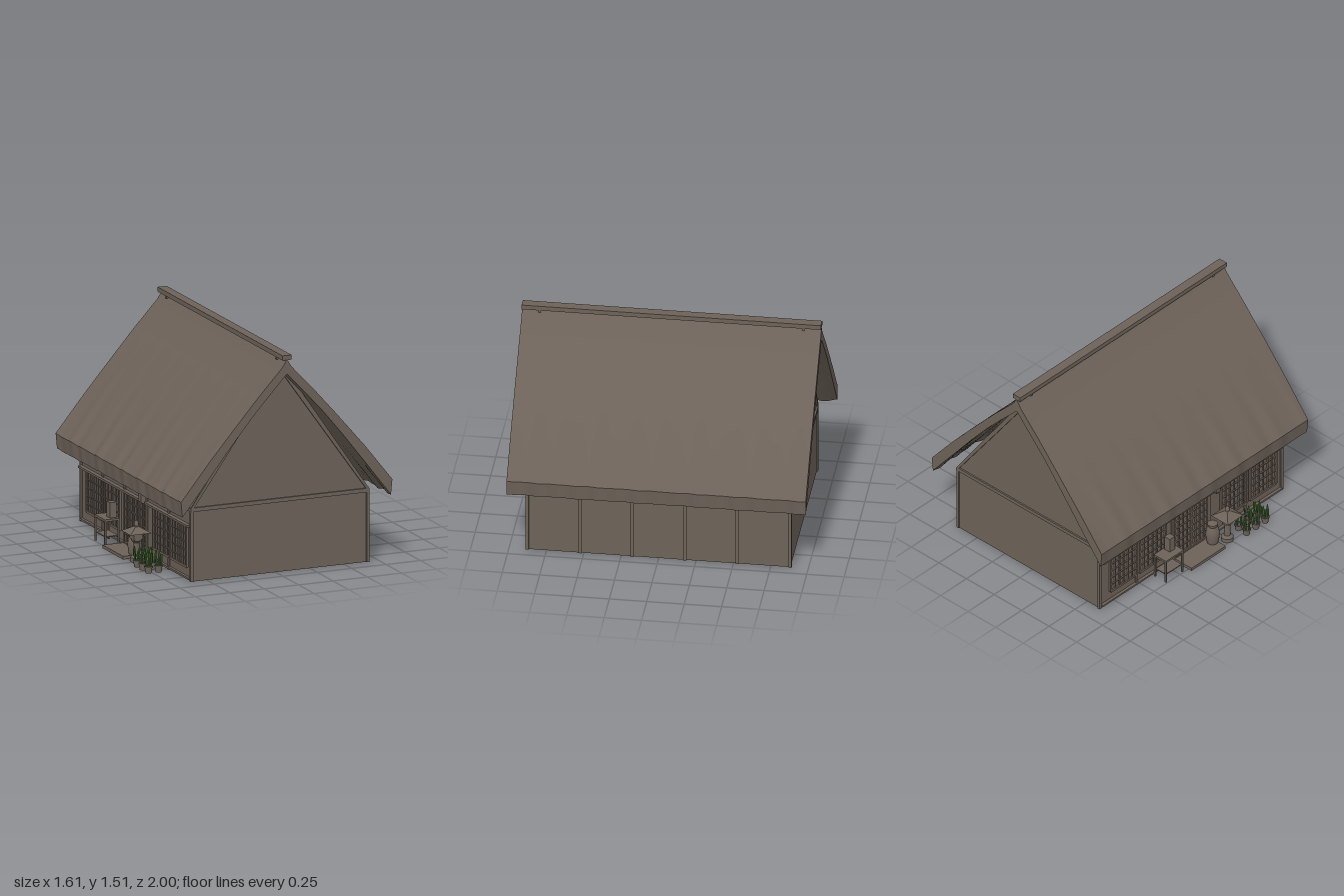
import * as THREE from 'three';
import { toCreasedNormals } from 'three/addons/utils/BufferGeometryUtils.js';

const wood = new THREE.MeshStandardMaterial({ color: 0x6d6259 });
wood.name = 'weathered brown';
const leaf = new THREE.MeshStandardMaterial({ color: 0x4f7a3a });
leaf.name = 'leaf green';

const CX = 0.03; // ridge line of the house
const WALL = -0.61; // shop front wall plane

function add(parent, name, geometry, x = 0, y = 0, z = 0, material = wood) {
  const mesh = new THREE.Mesh(geometry, material);
  mesh.name = name;
  mesh.position.set(x, y, z);
  parent.add(mesh);
  return mesh;
}

// Box given by its limits on each axis
function box(parent, name, x0, x1, y0, y1, z0, z1) {
  return add(parent, name, new THREE.BoxGeometry(x1 - x0, y1 - y0, z1 - z0),
    (x0 + x1) / 2, (y0 + y1) / 2, (z0 + z1) / 2);
}

function group(parent, name, x = 0, y = 0, z = 0) {
  const g = new THREE.Group();
  g.name = name;
  g.position.set(x, y, z);
  parent.add(g);
  return g;
}

function lathe(points, segments = 20) {
  const g = new THREE.LatheGeometry(points.map(p => new THREE.Vector2(...p)), segments);
  return toCreasedNormals(g, 0.6);
}

function polygon(points) {
  return new THREE.Shape(points.map(p => new THREE.Vector2(...p)));
}

// Thatched roof: one closed cross-section swept along z, rippling toward the eaves
function roofGeometry() {
  const outer = [[0, 1.48], [0.035, 1.425], [0.2, 1.25], [0.36, 1.07], [0.57, 0.83], [0.767, 0.58]];
  const inner = [[0.757, 0.476], [0.56, 0.73], [0.41, 0.92], [0.26, 1.1], [0.15, 1.22], [0, 1.38]];
  const flip = list => list.map(([x, y]) => [-x, y]).reverse();
  const section = [...outer, ...inner, ...flip(inner).slice(1), ...flip(outer).slice(0, -1)];
  const n = section.length, steps = 96, pos = [], index = [];
  for (let i = 0; i <= steps; i++) {
    const z = -1 + 2 * i / steps;
    for (const [x, y] of section) {
      const w = Math.pow(Math.abs(x) / 0.767, 4);
      const wave = 0.004 * Math.sin(z * 29 + Math.sign(x)) + 0.003 * Math.sin(z * 47 + y * 9);
      pos.push(CX + x + wave * w * Math.sign(x), y + wave * w, z);
    }
  }
  for (let i = 0; i < steps; i++) {
    for (let j = 0; j < n; j++) {
      const a = i * n + j, b = i * n + (j + 1) % n;
      index.push(a, a + n, b, b, a + n, b + n);
    }
  }
  const faces = THREE.ShapeUtils.triangulateShape(section.map(p => new THREE.Vector2(...p)), []);
  const last = steps * n;
  for (const [a, b, c] of faces) {
    // orient each end cap outward whichever way it was triangulated
    const [p, q, r] = [section[a], section[b], section[c]];
    const ccw = (q[0] - p[0]) * (r[1] - p[1]) - (q[1] - p[1]) * (r[0] - p[0]) > 0;
    const [u, v] = ccw ? [b, c] : [c, b];
    index.push(last + a, last + u, last + v, a, v, u);
  }
  const g = new THREE.BufferGeometry();
  g.setAttribute('position', new THREE.Float32BufferAttribute(pos, 3));
  g.setIndex(index);
  // the section runs clockwise, so side faces already point outward
  return toCreasedNormals(g, 0.5);
}

// Lattice screen on the shop front
function lattice(parent, name, y0, y1, z0, z1, columns, rows) {
  const g = group(parent, name);
  box(g, 'screenPanel', WALL - 0.004, WALL, y0, y1, z0, z1);
  const bar = (a, b, c, d) => box(g, 'latticeBar', WALL - 0.014, WALL, a, b, c, d);
  for (let i = 0; i <= columns; i++) {
    const z = z0 + (z1 - z0) * i / columns, h = i % columns ? 0.003 : 0.008;
    bar(y0, y1, z - h, z + h);
  }
  for (let i = 0; i <= rows; i++) {
    const y = y0 + (y1 - y0) * i / rows, h = i % rows ? 0.003 : 0.008;
    bar(y - h, y + h, z0, z1);
  }
}

export function createModel() {
  const model = new THREE.Group();
  model.name = 'thatchedShop';

  // Walls and gable as one solid
  const house = group(model, 'house');
  const body = polygon([[-0.61, 0], [0.67, 0], [0.67, 0.5], [CX, 1.42], [-0.61, 0.5]]);
  add(house, 'walls', new THREE.ExtrudeGeometry(body, { depth: 1.76, bevelEnabled: false }), 0, 0, -0.88);

  // Timber posts along both long walls
  for (let i = 0; i < 6; i++) {
    const z = -0.878 + 1.756 * i / 5;
    box(house, 'post', 0.66, 0.68, 0, 0.5, z - 0.011, z + 0.011);
    box(house, 'post', -0.62, -0.6, 0, 0.5, z - 0.011, z + 0.011);
  }
  box(house, 'wallPlate', 0.66, 0.68, 0.48, 0.5, -0.89, 0.89);
  box(house, 'wallPlate', -0.62, -0.6, 0.48, 0.5, -0.89, 0.89);

  // Gable timbers, front and back
  const rake = polygon([[-0.62, 0.5], [0.68, 0.5], [CX, 1.44]]);
  rake.holes.push(polygon([[-0.595, 0.505], [CX, 1.38], [0.655, 0.505]]));
  for (const s of [-1, 1]) {
    box(house, 'tieBeam', -0.62, 0.68, 0.478, 0.5, s * 0.885 - 0.006, s * 0.885 + 0.006);
    add(house, 'gableFrame', new THREE.ExtrudeGeometry(rake, { depth: 0.012, bevelEnabled: false }),
      0, 0, s * 0.885 - 0.006);
  }

  // Roof and ridge
  const roof = group(model, 'roof');
  add(roof, 'thatch', roofGeometry());
  box(roof, 'ridgeBeam', CX - 0.033, CX + 0.033, 1.475, 1.507, -1, 1);
  for (const z of [-0.88, 0.88]) box(roof, 'ridgePeg', CX - 0.025, CX + 0.025, 1.455, 1.475, z - 0.008, z + 0.008);

  // Shop front: windows, sliding door, sill and head rails
  const front = group(model, 'shopFront');
  for (const z of [-0.78, -0.5, 0.29, 0.57]) lattice(front, 'latticeWindow', 0.09, 0.37, z, z + 0.25, 6, 5);
  lattice(front, 'slidingDoor', 0.03, 0.37, -0.16, 0.0, 4, 6);
  lattice(front, 'slidingDoor', 0.03, 0.37, 0.0, 0.16, 4, 6);
  box(front, 'headRail', -0.64, -0.61, 0.37, 0.385, -0.87, 0.87);
  box(front, 'sillRail', -0.63, -0.61, 0.012, 0.025, -0.87, 0.87);
  box(front, 'doorStep', -0.78, -0.62, 0, 0.022, -0.17, 0.16);

  // Hanging lamp beside the door
  const lamp = group(front, 'hangingLamp', -0.66, 0, 0.2);
  box(lamp, 'lampBody', -0.018, 0.018, 0.395, 0.505, -0.02, 0.02);
  box(lamp, 'lampFoot', -0.012, 0.012, 0.382, 0.395, -0.013, 0.013);
  box(lamp, 'lampBracket', 0, 0.05, 0.485, 0.495, -0.005, 0.005);

  // Stand with a box on it
  const stand = group(model, 'stand');
  box(stand, 'standTop', -0.745, -0.635, 0.165, 0.18, -0.38, -0.21);
  box(stand, 'standShelf', -0.735, -0.645, 0.055, 0.062, -0.37, -0.22);
  for (const x of [-0.738, -0.642]) for (const z of [-0.373, -0.217])
    box(stand, 'standLeg', x - 0.006, x + 0.006, 0, 0.165, z - 0.006, z + 0.006);
  box(stand, 'standBox', -0.695, -0.645, 0.18, 0.285, -0.29, -0.24);

  // Lidded jar
  add(model, 'jar', lathe([[0, 0], [0.03, 0], [0.042, 0.04], [0.048, 0.09], [0.043, 0.13], [0.03, 0.155],
    [0.036, 0.165], [0.036, 0.178], [0.012, 0.19], [0, 0.195]]), -0.685, 0, 0.135);

  // Garden lantern with a square hipped cap
  const lantern = group(model, 'gardenLantern', -0.72, 0, 0.24);
  add(lantern, 'lanternPost', lathe([[0, 0], [0.042, 0], [0.042, 0.03], [0.022, 0.045], [0.02, 0.13],
    [0.036, 0.145], [0.036, 0.155], [0, 0.155]]));
  box(lantern, 'lightBox', -0.034, 0.034, 0.155, 0.205, -0.034, 0.034);
  const cap = new THREE.CylinderGeometry(0.022, 0.108, 0.036, 4).toNonIndexed();
  cap.computeVertexNormals();
  add(lantern, 'lanternCap', cap, 0, 0.22, 0).rotation.y = Math.PI / 4;
  add(lantern, 'lanternFinial', lathe([[0, 0.235], [0.011, 0.235], [0.017, 0.255], [0.012, 0.272], [0, 0.283]], 12));

  // Two rows of potted plants with upright blades
  const potShape = lathe([[0, 0], [0.021, 0], [0.026, 0.038], [0.029, 0.038], [0.029, 0.047],
    [0.023, 0.047], [0.023, 0.04], [0, 0.04]], 14);
  const blade = lathe([[0, 0], [0.004, 0], [0.007, 0.06], [0.005, 0.085], [0, 0.1]], 6);
  for (const x of [-0.773, -0.7]) for (const z of [0.37, 0.46, 0.55]) {
    const plant = group(model, 'pottedPlant', x, 0, z);
    add(plant, 'pot', potShape);
    for (let i = 0; i < 5; i++) {
      const a = i * Math.PI * 0.4 + z * 5;
      const b = add(plant, 'leafBlade', blade, 0.016 * Math.cos(a), 0.038, 0.016 * Math.sin(a), leaf);
      b.rotation.set(0.1 * Math.sin(a), 0, -0.1 * Math.cos(a));
      b.scale.y = 0.8 + 0.06 * ((i * 2) % 5);
    }
  }
  return model;
}
